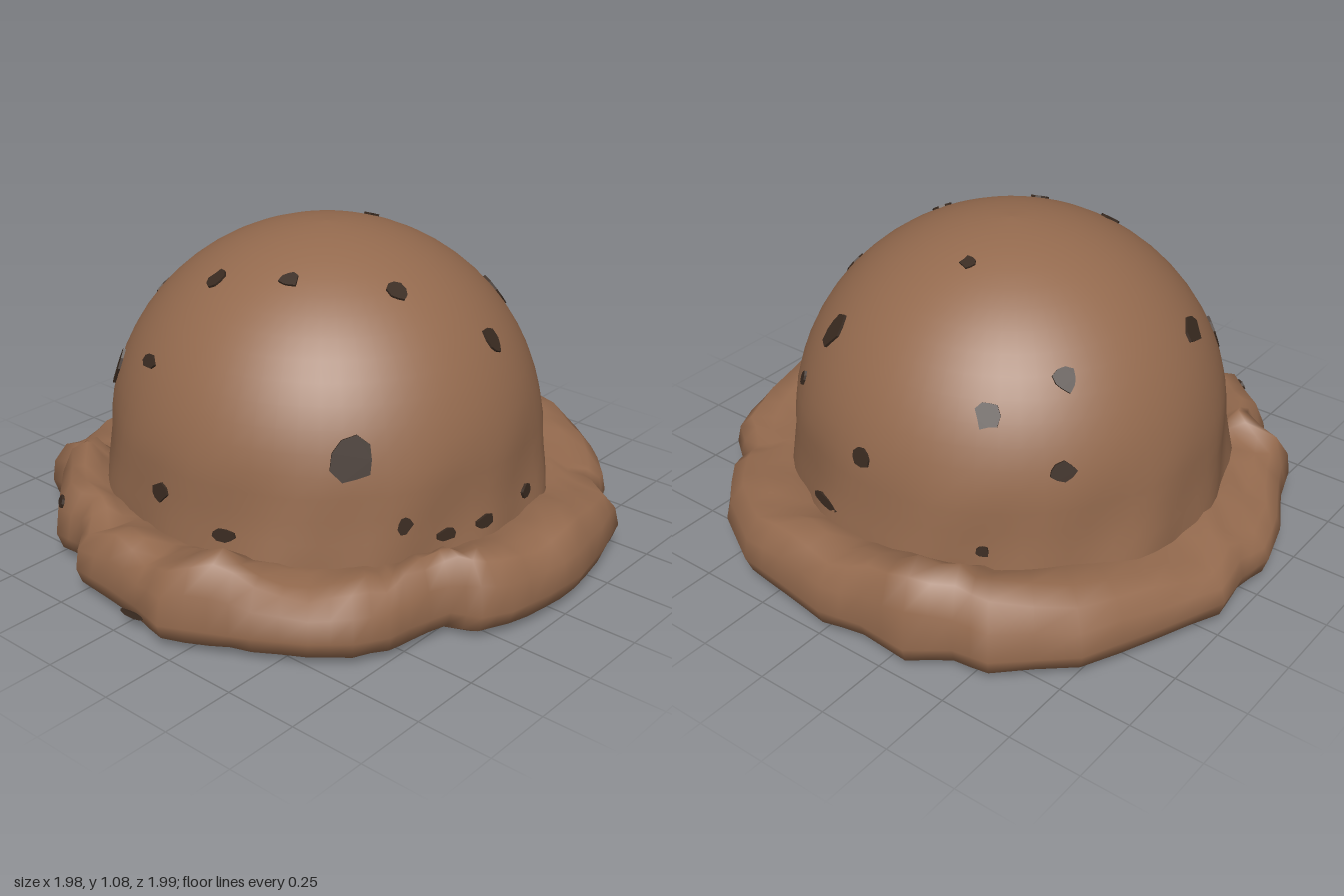
import * as THREE from 'three';

const iceCream = new THREE.MeshStandardMaterial({ color: 0x946a4e });
iceCream.name = 'chocolate ice cream';
const darkChip = new THREE.MeshStandardMaterial({ color: 0x392a20 });
darkChip.name = 'dark chocolate';

const CX = -0.015, CZ = -0.02; // dome axis
const wobble = (a, b) => { // repeatable value in -1..1
  const s = Math.sin(a * 12.9898 + b * 78.233) * 43758.5453;
  return (s - Math.floor(s)) * 2 - 1;
};

// Ragged skirt outline: x, z and crest height, going round from +x to +z
const OUTLINE = [
  [0.98, 0.06, 0.23], [0.95, 0.22, 0.25], [0.9, 0.31, 0.27], [0.81, 0.35, 0.26], [0.77, 0.5, 0.24],
  [0.76, 0.58, 0.22], [0.7, 0.68, 0.24], [0.6, 0.77, 0.21], [0.45, 0.86, 0.24], [0.33, 0.92, 0.31],
  [0.19, 0.99, 0.26], [0.06, 0.96, 0.22], [-0.1, 0.94, 0.27], [-0.25, 0.93, 0.21], [-0.36, 0.82, 0.26],
  [-0.48, 0.82, 0.27], [-0.66, 0.65, 0.3], [-0.67, 0.57, 0.29], [-0.8, 0.57, 0.23], [-0.85, 0.42, 0.2],
  [-0.94, 0.25, 0.18], [-0.99, 0.08, 0.17], [-0.97, -0.05, 0.19], [-0.99, -0.2, 0.17], [-0.9, -0.42, 0.21],
  [-0.78, -0.68, 0.24], [-0.57, -0.87, 0.28], [-0.45, -0.89, 0.3], [-0.33, -0.98, 0.33], [-0.15, -0.97, 0.28],
  [0, -1, 0.25], [0.2, -0.97, 0.26], [0.37, -0.95, 0.24], [0.58, -0.83, 0.22], [0.73, -0.66, 0.2],
  [0.75, -0.58, 0.2], [0.9, -0.47, 0.21], [0.95, -0.3, 0.24], [0.99, -0.1, 0.25],
];

// Outline columns with a midpoint between neighbours
const columns = OUTLINE.flatMap((p, i) => {
  const q = OUTLINE[(i + 1) % OUTLINE.length];
  return [p, p.map((v, k) => (v + q[k]) / 2)];
}).map(([x, z, h]) => ({ r: Math.hypot(x, z), a: Math.atan2(z, x), h }));

// Joins closed rings of points, listed from the bottom up
function loft(rings) {
  const n = rings[0].length, index = [];
  for (let k = 0; k < rings.length - 1; k++) {
    for (let i = 0; i < n; i++) {
      const j = (i + 1) % n, a = k * n + i, b = k * n + j;
      index.push(a, a + n, b, b, a + n, b + n);
    }
  }
  const g = new THREE.BufferGeometry();
  g.setAttribute('position', new THREE.Float32BufferAttribute(rings.flat(2), 3));
  g.setIndex(index);
  g.computeVertexNormals();
  return g;
}

// Dome radius at a height, flaring slightly near the foot
const domeRadius = y => y < 0.36
  ? 0.74 + (0.36 - y) * 0.14
  : 0.74 * Math.sqrt(Math.max(0, 1 - ((y - 0.36) / 0.72) ** 2));

function domeGeometry() {
  const heights = [0.1, 0.2, 0.28, 0.36];
  for (let i = 1; i <= 16; i++) heights.push(0.36 + 0.72 * Math.sin(i / 16 * Math.PI / 2));
  return loft(heights.map(y => Array.from({ length: 64 }, (_, i) => {
    const a = i / 64 * Math.PI * 2;
    const foot = Math.max(0, 0.55 - y) * 0.05;
    const r = domeRadius(y) + foot * Math.sin(a * 9 + y * 7) * Math.sin(a * 4);
    return [CX + r * Math.cos(a), y, CZ + r * Math.sin(a)];
  })));
}

// Skirt cross-section from the underside edge over the crest to the dome
function skirtRing(k) {
  return columns.map(({ r, a, h }, i) => {
    const [radius, y, rough] = [
      [r * 0.93, 0.008, 0],
      [r * 0.98, 0.035, 0.004],
      [r, 0.09, 0],
      [r * 0.985, 0.1 + (h - 0.1) * 0.5, 0.008],
      [r * 0.94, h * 0.97, 0.01],
      [r * 0.94 * 0.6 + 0.75 * 0.4, h, 0.014],
      [r * 0.94 * 0.2 + 0.75 * 0.8, h * 0.35 + 0.15, 0.012],
      [0.7, 0.2, 0],
    ][k];
    const rr = radius + rough * wobble(i, k) * 0.6;
    return [rr * Math.cos(a), y + rough * wobble(k + 3, i), rr * Math.sin(a)];
  });
}

// Flat underside closing the skirt
function baseGeometry() {
  const ring = skirtRing(0), index = [];
  ring.forEach((_, i) => index.push(0, i + 1, (i + 1) % ring.length + 1));
  const g = new THREE.BufferGeometry();
  g.setAttribute('position', new THREE.Float32BufferAttribute([0, 0, 0, ...ring.flat()], 3));
  g.setIndex(index);
  g.computeVertexNormals();
  return g;
}

// Irregular thin chip lying on the XY plane
function chipGeometry(w, h, seed) {
  const pts = Array.from({ length: 9 }, (_, i) => {
    const a = i / 9 * Math.PI * 2, r = 1 + 0.22 * wobble(seed, i);
    return new THREE.Vector2(Math.cos(a) * w / 2 * r, Math.sin(a) * h / 2 * r);
  });
  return new THREE.ExtrudeGeometry(new THREE.Shape(pts), { depth: 0.009, bevelEnabled: false });
}

// Chips: x, z, width, height on the surface, and y where the wall is steep
const CHIPS = [
  [-0.34, -0.57, 0.07, 0.09], [-0.48, -0.37, 0.08, 0.08], [-0.05, -0.29, 0.05, 0.05],
  [0.31, -0.53, 0.09, 0.11], [0.58, -0.14, 0.07, 0.09], [0.38, 0.1, 0.06, 0.07],
  [0.12, 0.31, 0.06, 0.06], [-0.13, 0.38, 0.06, 0.07], [-0.59, 0.18, 0.11, 0.08],
  [-0.23, 0.59, 0.07, 0.05], [-0.5, 0.49, 0.06, 0.11, 0.59], [0.52, 0.47, 0.13, 0.14, 0.55],
  [0.65, 0.37, 0.05, 0.06, 0.33], [-0.07, 0.74, 0.07, 0.06, 0.35], [0.42, -0.57, 0.04, 0.05, 0.58],
  [-0.53, -0.46, 0.08, 0.06, 0.56], [0.02, -0.71, 0.07, 0.06, 0.52], [0.75, -0.16, 0.06, 0.04, 0.28],
  [0.75, 0.08, 0.07, 0.04, 0.27], [0.72, 0.24, 0.06, 0.04, 0.27], [0.2, 0.72, 0.08, 0.04, 0.28],
  [0.18, -0.74, 0.12, 0.04, 0.28], [-0.4, -0.68, 0.04, 0.04, 0.3],
];

function chip([x, z, w, h, steepY], seed) {
  const dx = x - CX, dz = z - CZ, d = Math.hypot(dx, dz);
  const y = steepY ?? 0.36 + 0.72 * Math.sqrt(Math.max(0, 1 - (d / 0.74) ** 2));
  const r = domeRadius(y);
  const normal = new THREE.Vector3(dx / d * r, Math.max(0.1, (y - 0.36) * 1.05), dz / d * r).normalize();
  const mesh = new THREE.Mesh(chipGeometry(w, h, seed + 1), darkChip);
  mesh.position.set(CX + dx / d * r, y, CZ + dz / d * r).addScaledVector(normal, -0.003);
  mesh.lookAt(mesh.position.clone().add(normal));
  mesh.name = 'chip';
  return mesh;
}

// Two chips set into the front of the skirt
function skirtChip(x, y, z, w, h, seed) {
  const mesh = new THREE.Mesh(chipGeometry(w, h, seed), darkChip);
  mesh.position.set(x, y, z);
  mesh.lookAt(x * 2, y + 0.3, z * 2);
  mesh.name = 'skirtChip';
  return mesh;
}

export function createModel() {
  const group = new THREE.Group();
  group.name = 'iceCreamScoop';
  const add = (name, geometry) => {
    const mesh = new THREE.Mesh(geometry, iceCream);
    mesh.name = name;
    group.add(mesh);
  };
  add('dome', domeGeometry());
  add('skirt', loft([0, 1, 2, 3, 4, 5, 6, 7].map(skirtRing)));
  add('base', baseGeometry());

  const chips = new THREE.Group();
  chips.name = 'chips';
  CHIPS.forEach((c, i) => chips.add(chip(c, i)));
  chips.add(skirtChip(-0.46, 0.21, 0.8, 0.04, 0.04, 41), skirtChip(0.04, 0.05, 0.95, 0.1, 0.02, 42));
  group.add(chips);
  return group;
}
